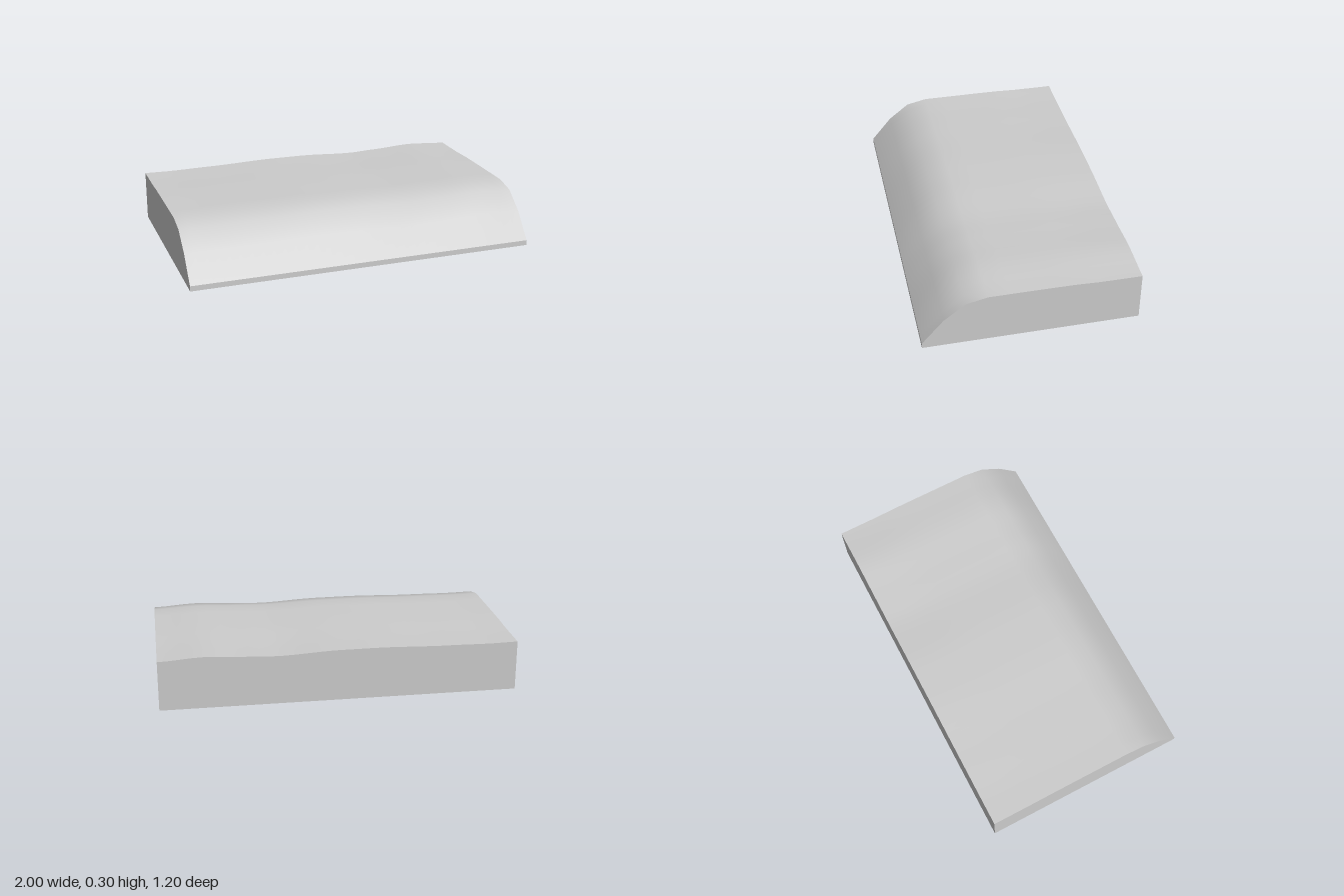
import * as THREE from 'three';

const COLS = 32, ROWS = 10;
// Lowest height and ripple size of each row, from back (z = -0.6) to front (z = 0.6)
const base = [0.279, 0.279, 0.28, 0.286, 0.287, 0.287, 0.287, 0.287, 0.259, 0.168, 0.03];
const ripple = [0.019, 0.019, 0.018, 0.013, 0.013, 0.013, 0.013, 0.013, 0.018, 0.011, 0];
// Ripple along the length, as [x, strength]
const wave = [[-1, 0.35], [-0.85, 0.2], [-0.6, 0.35], [-0.2, 0.85], [0, 0.8], [0.35, 0.02],
  [0.5, 0.35], [0.75, 1], [1, 0.25]];

function strength(x) {
  let i = 0;
  while (i < wave.length - 2 && x > wave[i + 1][0]) i++;
  const [a, b] = [wave[i], wave[i + 1]];
  return THREE.MathUtils.lerp(a[1], b[1], THREE.MathUtils.smoothstep(x, a[0], b[0]));
}

function height(x, z) {
  const row = Math.round((z + 0.6) / 1.2 * ROWS);
  return base[row] + ripple[row] * strength(x);
}

// Upright wall whose upper edge follows the top surface; path runs left to right seen from outside
function wall(segments, path) {
  const g = new THREE.PlaneGeometry(1, 1, segments, 1);
  const p = g.attributes.position;
  for (let i = 0; i < p.count; i++) {
    const [x, z] = path(p.getX(i) + 0.5);
    p.setXYZ(i, x, p.getY(i) > 0 ? height(x, z) : 0, z);
  }
  g.computeVertexNormals();
  return g;
}

export function createModel() {
  const group = new THREE.Group();
  group.name = 'slopedSlab';
  const grey = new THREE.MeshStandardMaterial({ color: 0xcccccc });
  grey.name = 'light grey';
  const add = (name, geometry) => {
    const mesh = new THREE.Mesh(geometry, grey);
    mesh.name = name;
    group.add(mesh);
  };

  // Gently rippled top rolling down to the front
  const top = new THREE.PlaneGeometry(2, 1.2, COLS, ROWS).rotateX(-Math.PI / 2);
  const p = top.attributes.position;
  for (let i = 0; i < p.count; i++) p.setY(i, height(p.getX(i), p.getZ(i)));
  top.computeVertexNormals();
  add('topSurface', top);

  // Flat sides and underside
  add('frontWall', wall(COLS, u => [2 * u - 1, 0.6]));
  add('backWall', wall(COLS, u => [1 - 2 * u, -0.6]));
  add('leftWall', wall(ROWS, u => [1, 0.6 - 1.2 * u]));
  add('rightWall', wall(ROWS, u => [-1, 1.2 * u - 0.6]));
  add('underside', new THREE.PlaneGeometry(2, 1.2).rotateX(Math.PI / 2));
  return group;
}
